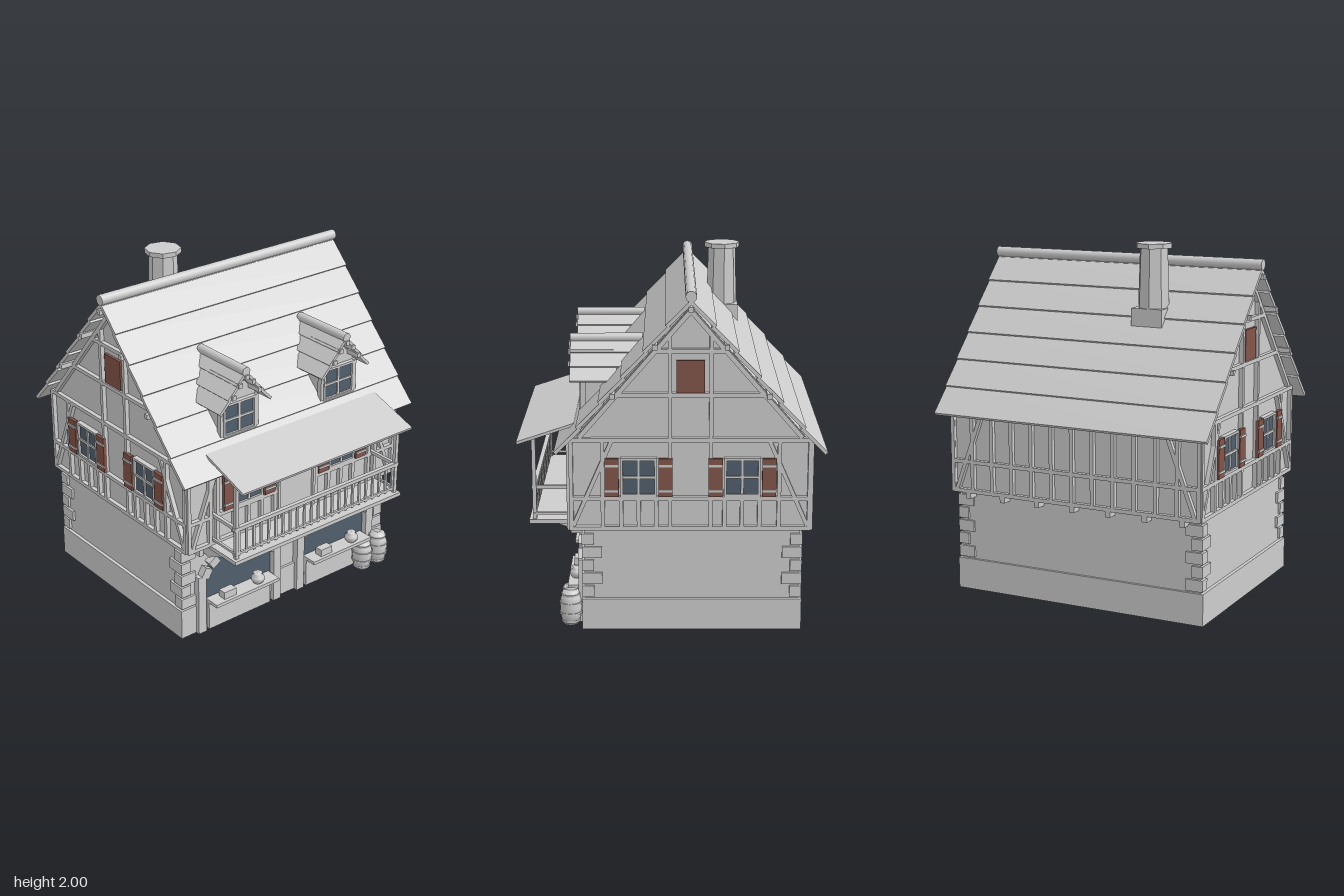
import * as THREE from 'three';

const mat = (name, color) => { const m = new THREE.MeshStandardMaterial({ color }); m.name = name; return m; };
const grey = mat('pale grey', 0xcccccc), red = mat('shutter red', 0x82544a), blue = mat('glass blue', 0x525f6e);
const RIDGE_Y = 1.88, RIDGE_Z = -0.115, SLOPE = 1.153;

function group(parent, name, x = 0, y = 0, z = 0, ry = 0) {
  const g = new THREE.Group();
  g.name = name; g.position.set(x, y, z); g.rotation.y = ry;
  parent.add(g);
  return g;
}
function mesh(parent, name, geo, m, x = 0, y = 0, z = 0) {
  const o = new THREE.Mesh(geo, m);
  o.name = name; o.position.set(x, y, z);
  parent.add(o);
  return o;
}
const box = (p, name, w, h, d, x, y, z, m = grey) => mesh(p, name, new THREE.BoxGeometry(w, h, d), m, x, y, z);
// Box given by its limits
const span = (p, name, x0, x1, y0, y1, z0, z1, m = grey) =>
  box(p, name, x1 - x0, y1 - y0, z1 - z0, (x0 + x1) / 2, (y0 + y1) / 2, (z0 + z1) / 2, m);
// Timber between two points of a wall plane
function beam(p, x0, y0, x1, y1, w = 0.022) {
  const b = box(p, 'timber', Math.hypot(x1 - x0, y1 - y0), w, 0.03, (x0 + x1) / 2, (y0 + y1) / 2, 0.005);
  b.rotation.z = Math.atan2(y1 - y0, x1 - x0);
}
const extrude = (pts, depth) => new THREE.ExtrudeGeometry(
  new THREE.Shape(pts.map(([x, y]) => new THREE.Vector2(x, y))), { depth, bevelEnabled: false });

// Framed pane with glazing bars
function pane(p, x, y, w, h) {
  const g = group(p, 'window', x, y, 0);
  box(g, 'glass', w, h, 0.008, 0, 0, 0.008, blue);
  for (const s of [-1, 1]) {
    box(g, 'frameSide', 0.014, h + 0.028, 0.03, s * (w / 2 + 0.007), 0, 0.01);
    box(g, 'frameRail', w, 0.014, 0.03, 0, s * (h / 2 + 0.007), 0.01);
  }
  box(g, 'mullion', 0.016, h, 0.012, 0, 0, 0.014);
  box(g, 'transom', w, 0.014, 0.012, 0, 0, 0.014);
}
function shutteredWindow(p, x) {
  pane(p, x, 0.887, 0.17, 0.19);
  for (const s of [-1, 1]) {
    const cx = x + s * 0.145;
    box(p, 'shutter', 0.076, 0.215, 0.02, cx, 0.887, 0.02, red);
    for (const y of [0.815, 0.955]) box(p, 'shutterBatten', 0.076, 0.014, 0.006, cx, y, 0.033);
  }
}

// Overlapping shingle rows descending along +x from the origin
function roofSide(parent, name, width, length, rows, angle, thick, lift) {
  const g = group(parent, name);
  const step = length / rows;
  for (let i = 0; i < rows; i++) {
    const row = box(g, 'shingleRow', step + 0.012, thick, width, (i + 0.5) * step, 0, 0);
    row.rotation.z = lift / step;
  }
  g.rotation.z = -angle;
  return g;
}

function roof(root) {
  const g = group(root, 'mainRoof', 0, 0, RIDGE_Z);
  const a = Math.atan(SLOPE);
  for (const s of [-1, 1]) {
    const side = group(g, 'roofSlope', 0, RIDGE_Y - 0.015, 0, s * -Math.PI / 2);
    roofSide(side, 'shingles', 1.67, 1.095, 6, a, 0.02, 0.012);
  }
  const ridge = mesh(g, 'ridgeRoll', new THREE.CylinderGeometry(0.03, 0.03, 1.68, 16), grey, 0, 1.887, 0);
  ridge.rotation.z = Math.PI / 2;
  for (const [z, y] of [[0, 1.82], [0.19, 1.62], [-0.19, 1.62], [0.415, 1.355], [-0.415, 1.355]])
    box(g, 'purlin', 1.7, 0.027, 0.027, 0, y, z);
}

function dormer(root, x) {
  const g = group(root, 'dormer', x, 0, 0);
  mesh(g, 'dormerBody', extrude([[-0.125, 1.15], [0.125, 1.15], [0.125, 1.385], [0, 1.535], [-0.125, 1.385]], 0.4), grey, 0, 0, 0.07);
  const front = group(g, 'dormerFront', 0, 0, 0.47);
  pane(front, 0, 1.28, 0.2, 0.17);
  for (const s of [-1, 1]) {
    beam(front, s * 0.122, 1.18, s * 0.122, 1.38);
    // Slope trimmed back to meet the main roof
    const len = 0.265, a = Math.atan(1.2);
    for (let i = 0; i < 3; i++) {
      const mid = (i + 0.5) * len / 3;
      const back = 0.15 + (i + 0.3) * 0.06;
      const row = box(g, 'dormerShingles', len / 3 + 0.01, 0.016, 0.545 - back,
        s * mid * Math.cos(a), 1.562 - mid * Math.sin(a), (0.545 + back) / 2);
      row.rotation.z = s * (-a + 0.08);
    }
    for (const [px, py] of [[0.045, 1.497], [0.088, 1.438]])
      box(g, 'dormerPurlin', 0.026, 0.026, 0.25, s * px, py, 0.432);
  }
  box(g, 'dormerPurlin', 0.026, 0.026, 0.25, 0, 1.535, 0.432);
  const roll = mesh(g, 'dormerRidge', new THREE.CylinderGeometry(0.026, 0.026, 0.4, 14), grey, 0, 1.567, 0.347);
  roll.rotation.x = Math.PI / 2;
}

function upperStorey(root) {
  const g = group(root, 'upperStorey');
  const body = mesh(g, 'upperWalls', extrude([[-0.53, 0.585], [0.755, 0.585], [0.755, 1.085], [0.115, 1.825], [-0.53, 1.085]], 1.51), grey, -0.755);
  body.rotation.y = Math.PI / 2;

  // Gable walls, drawn with u running from front to back
  for (const s of [-1, 1]) {
    const w = group(g, 'gableWall', s * 0.76, 0, 0, s * Math.PI / 2);
    const f = (a, b, c, d) => beam(w, s * a, b, s * c, d);
    for (const y of [0.595, 0.765, 1.095]) f(-0.54, y, 0.77, y);
    f(-0.3, 1.345, 0.53, 1.345);
    f(-0.09, 1.585, 0.31, 1.585);
    for (const u of [0.005, 0.225]) { f(u, 0.595, u, 0.765); f(u, 0.765, u, 1.68); }
    for (const u of [-0.53, -0.36, 0.595, 0.76]) f(u, 0.585, u, 1.09);
    for (const u of [-0.26, -0.165, -0.07, 0.3, 0.395, 0.49]) f(u, 0.595, u, 0.765);
    f(-0.52, 0.61, -0.31, 1.09);
    f(0.75, 0.61, 0.54, 1.09);
    for (const u of [-0.165, 0.395]) shutteredWindow(w, s * u);
    box(w, 'atticHatch', 0.15, 0.175, 0.016, s * 0.115, 1.445, 0.006, red);
    for (const d of [-1, 1]) beam(w, s * 0.115, 1.8, s * 0.115 + d * 0.6, 1.8 - 0.6 * SLOPE, 0.025);
  }
  // Back wall
  const back = group(g, 'backWall', 0, 0, -0.76, Math.PI);
  for (const y of [0.595, 0.765, 1.07]) beam(back, -0.77, y, 0.77, y);
  for (let i = 0; i <= 12; i++) beam(back, -0.762 + i * 0.127, 0.59, -0.762 + i * 0.127, 1.08);
  // Front wall
  const front = group(g, 'frontWall', 0, 0, 0.535);
  for (const y of [0.595, 0.765, 1.07]) for (const s of [-1, 1]) beam(front, s * 0.13, y, s * 0.77, y);
  for (const s of [-1, 1]) {
    for (const x of [0.155, 0.565, 0.615, 0.76]) beam(front, s * x, 0.59, s * x, 1.08);
    for (const x of [0.25, 0.345, 0.44]) beam(front, s * x, 0.595, s * x, 0.765);
    beam(front, s * 0.74, 0.6, s * 0.57, 1.05);
    beam(back, s * 0.74, 0.6, s * 0.57, 1.05);
    shutteredWindow(front, s * 0.345);
    box(front, 'doorPost', 0.016, 0.44, 0.035, s * 0.13, 0.8, 0.01);
  }
  box(front, 'balconyDoor', 0.245, 0.42, 0.015, 0, 0.79, 0.002);
  box(front, 'doorLintel', 0.275, 0.022, 0.035, 0, 1.015, 0.01);
  // Joist ends below the jetties
  for (let i = 0; i < 7; i++) span(g, 'joistEnd', -0.68 + i * 0.222, -0.65 + i * 0.222, 0.55, 0.586, -0.775, -0.7);
}

function balcony(root) {
  const g = group(root, 'balcony');
  span(g, 'balconyFloor', -0.62, 0.62, 0.567, 0.59, 0.52, 0.775);
  const canopy = box(g, 'canopy', 1.24, 0.016, 0.335, 0, 1.085, 0.677);
  canopy.rotation.x = Math.atan(0.105 / 0.315);
  span(g, 'canopyPlate', -0.6, 0.6, 1.03, 1.05, 0.735, 0.757);
  span(g, 'handrail', -0.61, 0.61, 0.763, 0.785, 0.733, 0.758);
  span(g, 'lowerRail', -0.61, 0.61, 0.612, 0.626, 0.738, 0.752);
  for (let i = 0; i <= 22; i++) box(g, 'baluster', 0.014, 0.17, 0.012, -0.572 + i * 0.052, 0.69, 0.745);
  for (const s of [-1, 1]) {
    box(g, 'canopyPost', 0.022, 0.47, 0.022, s * 0.592, 0.815, 0.745);
    box(g, 'sideRail', 0.02, 0.02, 0.21, s * 0.592, 0.774, 0.64);
    box(g, 'sideLowerRail', 0.014, 0.014, 0.21, s * 0.592, 0.619, 0.64);
  }
  // Curved brackets
  const sh = new THREE.Shape();
  sh.moveTo(0.46, 0.585); sh.lineTo(0.46, 0.5); sh.lineTo(0.52, 0.49);
  sh.quadraticCurveTo(0.58, 0.545, 0.77, 0.57); sh.lineTo(0.77, 0.585);
  const geo = new THREE.ExtrudeGeometry(sh, { depth: 0.028, bevelEnabled: false });
  for (const x of [-0.56, -0.37, -0.19, 0, 0.19, 0.37, 0.56])
    mesh(g, 'bracket', geo, grey, x - 0.014).rotation.y = -Math.PI / 2;
  for (const s of [-1, 1]) box(g, 'joistEnd', 0.028, 0.05, 0.09, s * 0.67, 0.56, 0.495);
}

function groundFloor(root) {
  const g = group(root, 'groundFloor');
  span(g, 'plinth', -0.77, 0.77, 0, 0.18, -0.73, 0.48);
  span(g, 'stoneWalls', -0.75, 0.75, 0.17, 0.59, -0.715, 0.465);
  // Corner stones, alternating long and short
  for (const sx of [-1, 1]) for (const front of [true, false]) for (let i = 0; i < 5; i++) {
    const long = i % 2 ? 0.11 : 0.065, short = i % 2 ? 0.065 : 0.1;
    const z = front ? 0.478 - long / 2 : -0.728 + long / 2;
    box(g, 'cornerStone', short, 0.064, long, sx * (0.765 - short / 2), 0.222 + i * 0.076, z);
  }
  for (const s of [-1, 1]) {
    // Arched shop opening with counter
    const a = group(g, 'shopArch', s * 0.365, 0, 0);
    const sh = new THREE.Shape();
    sh.moveTo(0.25, 0.18); sh.lineTo(0.25, 0.33);
    sh.absellipse(0, 0.33, 0.25, 0.15, 0, Math.PI); sh.lineTo(-0.25, 0.18);
    mesh(a, 'darkOpening', new THREE.ShapeGeometry(sh, 24), blue, 0, 0, 0.47);
    for (const d of [-1, 1]) span(a, 'archPost', d * 0.25 - 0.027 + d * 0.025, d * 0.25 + 0.027 + d * 0.025, 0, 0.37, 0.45, 0.505);
    for (let i = 0; i < 7; i++) {
      const t = (20 + i * 23.33) * Math.PI / 180;
      const v = box(a, 'archStone', 0.062, 0.055, 0.06, 0.255 * Math.cos(t), 0.325 + 0.16 * Math.sin(t), 0.477);
      v.rotation.z = Math.atan2(Math.sin(t) / 0.16, Math.cos(t) / 0.255) - Math.PI / 2;
    }
    span(a, 'counterFront', -0.225, 0.225, 0, 0.18, 0.45, 0.5);
    span(a, 'counterTop', -0.225, 0.235, 0.175, 0.195, 0.45, 0.57);
    const px = 0.11, bx = -0.11;
    box(a, 'crate', 0.085, 0.045, 0.05, bx, 0.217, 0.525);
    const pot = [[0, 0], [0.025, 0], [0.041, 0.022], [0.038, 0.042], [0.022, 0.055], [0.027, 0.066], [0, 0.066]];
    mesh(a, 'pot', new THREE.LatheGeometry(pot.map(p => new THREE.Vector2(...p)), 16), grey, px, 0.195, 0.525);
  }
}

function barrel(root, x, h, z) {
  const g = group(root, 'barrel', x, 0, z);
  const pts = [[0, 0], [0.045, 0], [0.057, 0.25], [0.061, 0.5], [0.057, 0.75], [0.045, 1], [0, 1]];
  mesh(g, 'staves', new THREE.LatheGeometry(pts.map(([r, y]) => new THREE.Vector2(r, y * h)), 16), grey);
  for (const [r, y] of [[0.05, 0.1], [0.06, 0.35], [0.06, 0.65], [0.05, 0.9]])
    mesh(g, 'hoop', new THREE.CylinderGeometry(r + 0.003, r + 0.003, 0.012, 16), grey, 0, y * h, 0);
}

function chimney(root) {
  const g = group(root, 'chimney', -0.272, 0, -0.31);
  span(g, 'chimneyBase', -0.093, 0.093, 1.48, 1.645, -0.093, 0.08);
  const oct = (name, r0, r1, h, y) => {
    const m = mesh(g, name, new THREE.CylinderGeometry(r0, r1, h, 8), grey, 0, y, 0);
    m.geometry = m.geometry.toNonIndexed();
    m.geometry.computeVertexNormals();
    m.rotation.y = 0.15;
  };
  oct('chimneyShaft', 0.08, 0.092, 0.4, 1.78);
  oct('chimneyCap', 0.104, 0.104, 0.027, 1.9865);
}

export function createModel() {
  const root = new THREE.Group();
  root.name = 'timberHouse';
  groundFloor(root);
  upperStorey(root);
  roof(root);
  for (const x of [-0.362, 0.362]) dormer(root, x);
  balcony(root);
  chimney(root);
  barrel(root, 0.548, 0.175, 0.55);
  barrel(root, 0.672, 0.192, 0.55);
  return root;
}
